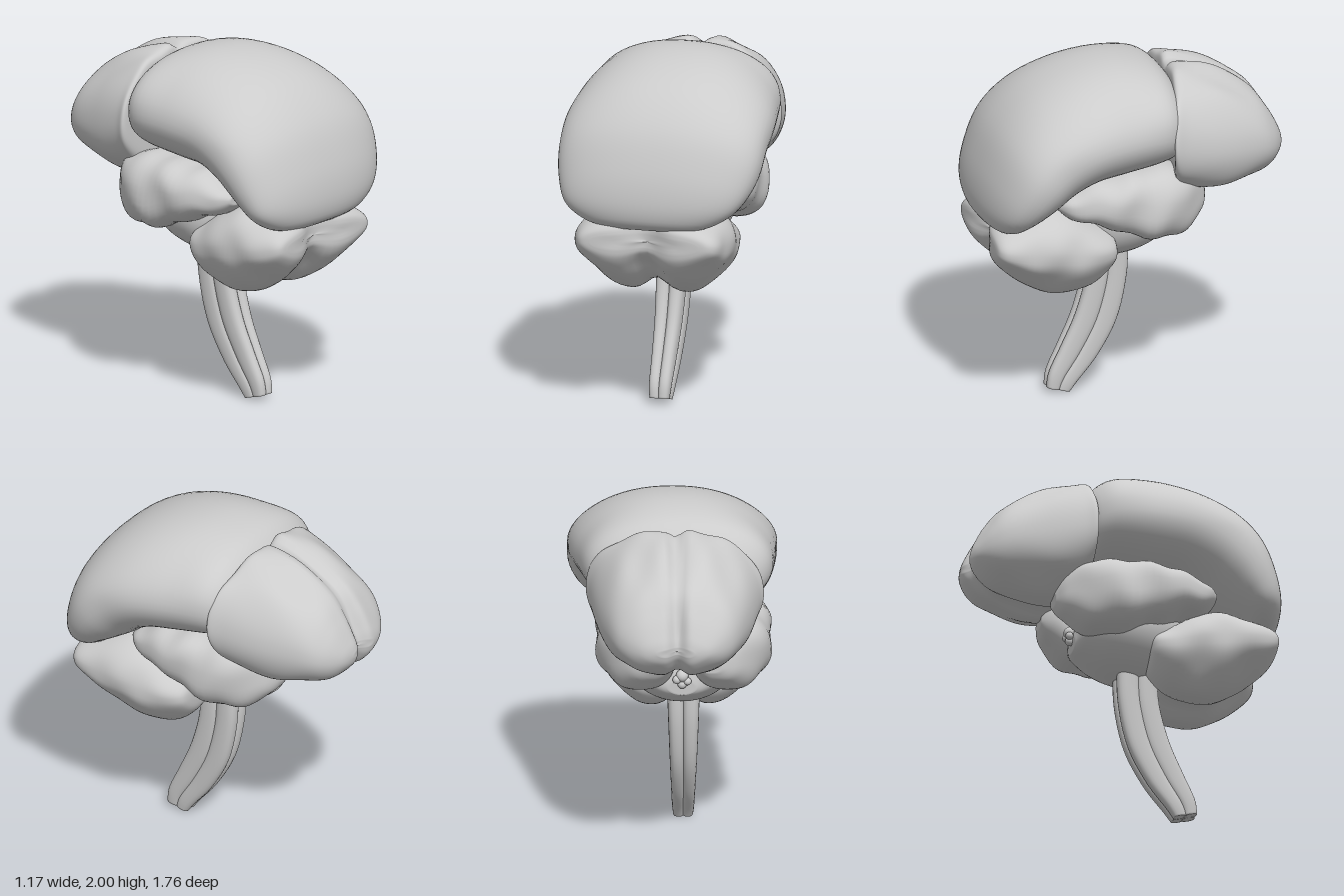
import * as THREE from 'three';

const material = new THREE.MeshStandardMaterial({ color: 0xcccccc, side: THREE.DoubleSide });
const MID = -0.05; // centre line of the lower parts
const { lerp, smoothstep } = THREE.MathUtils;

// Catmull-Rom blend of whole section rows
function blend(rows, t) {
  const last = rows.length - 1;
  const i = Math.min(Math.floor(t * last), last - 1), f = t * last - i;
  const [a, b, c, d] = [rows[Math.max(i - 1, 0)], rows[i], rows[i + 1], rows[Math.min(i + 2, last)]];
  return b.map((v, k) => v + 0.5 * f * (c[k] - a[k]
    + f * (2 * a[k] - 5 * v + 4 * c[k] - d[k] + f * (3 * (v - c[k]) + d[k] - a[k]))));
}

// Smooth body through rows of [outer z, outer y, inner z, inner y, half width, centre x]
function loft(name, rows, { power = 2.3, around = 48, steps = 36, deform } = {}) {
  const pos = [], index = [], p = new THREE.Vector3();
  const soft = v => Math.sign(v) * Math.abs(v) ** (2 / power);
  // rings as [position along the body, scale]; the scaled ones close the ends
  const rings = [[0, 0], [0, 0.3], [0, 0.6], [0, 0.85]];
  for (let i = 0; i <= steps; i++) rings.push([i / steps, 1]);
  rings.push([1, 0.85], [1, 0.6], [1, 0.3], [1, 0]);
  for (const [t, scale] of rings) {
    const [z1, y1, z2, y2, w, x] = blend(rows, t);
    for (let j = 0; j < around; j++) {
      const a = j / around * Math.PI * 2, s = scale * soft(Math.sin(a)) / 2;
      p.set(x + scale * w * soft(Math.cos(a)), (y1 + y2) / 2 + s * (y1 - y2), (z1 + z2) / 2 + s * (z1 - z2));
      if (deform) deform(p);
      pos.push(p.x, p.y, p.z);
    }
  }
  for (let i = 0; i < rings.length - 1; i++) for (let j = 0; j < around; j++) {
    const a = i * around + j, b = i * around + (j + 1) % around;
    index.push(a, b, a + around, b, b + around, a + around);
  }
  const g = new THREE.BufferGeometry();
  g.setAttribute('position', new THREE.Float32BufferAttribute(pos, 3));
  g.setIndex(index);
  g.computeVertexNormals();
  const mesh = new THREE.Mesh(g, material);
  mesh.name = name;
  return mesh;
}

// Rows for upright sections: [z, top, bottom, half width]
const upright = (rows, x) => rows.map(([z, top, bottom, w]) => [z, top, z, bottom, w, x]);
const bell = (v, width) => Math.exp(-((v / width) ** 2));

export function createModel() {
  const model = new THREE.Group();

  // Large arched lobe
  model.add(loft('cerebrum', [
    [-0.25, 1.80, -0.25, 1.50, 0.34, -0.05],
    [-0.24, 1.87, -0.23, 1.42, 0.43, -0.04],
    [-0.13, 1.96, -0.13, 1.39, 0.52, -0.03],
    [0.10, 2.00, 0.08, 1.36, 0.56, -0.015],
    [0.36, 1.96, 0.25, 1.34, 0.58, 0],
    [0.59, 1.85, 0.37, 1.29, 0.585, 0],
    [0.76, 1.67, 0.46, 1.23, 0.58, 0],
    [0.85, 1.45, 0.53, 1.19, 0.545, -0.01],
    [0.88, 1.27, 0.60, 1.15, 0.48, -0.025],
    [0.86, 1.15, 0.65, 1.11, 0.36, -0.03],
    [0.80, 1.10, 0.72, 1.09, 0.22, -0.03],
  ], {
    power: 2.2, around: 64, steps: 50,
    deform: p => { p.x *= 1 - 0.12 * smoothstep(p.y, 1.6, 2.0) * smoothstep(p.z, -0.2, 0.1); },
  }));

  // Grooved lobe at the rear, split along its centre line
  model.add(loft('frontalLobe', upright([
    [-0.885, 1.47, 1.41, 0.10],
    [-0.865, 1.53, 1.36, 0.19],
    [-0.80, 1.65, 1.29, 0.29],
    [-0.70, 1.77, 1.24, 0.36],
    [-0.50, 1.89, 1.19, 0.43],
    [-0.32, 1.945, 1.22, 0.48],
    [-0.25, 1.93, 1.28, 0.50],
    [-0.24, 1.85, 1.38, 0.42],
  ], -0.01), {
    power: 2.15, around: 96, steps: 50,
    deform: p => {
      const cleft = bell(p.x + 0.02, 0.045), up = Math.tanh((p.y - 1.44) / 0.15);
      p.z += cleft * 0.05 * smoothstep(-p.z, 0.65, 0.88);
      p.y -= cleft * 0.045 * up;
      p.y += 0.012 * Math.sin(p.x * 24) * Math.sin(p.z * 9) * up;
      p.x *= 1 + 0.22 * (1.52 - p.y);
      if (p.x > 0) p.z += 0.4 * p.x * p.x * smoothstep(p.z, -0.6, -0.2);
    },
  }));

  // Pair of side lobes
  for (const side of [1, -1]) {
    const rows = [
      [-0.43, 1.23, 1.15, 0.06, 0.15],
      [-0.39, 1.31, 1.08, 0.12, 0.19],
      [-0.28, 1.38, 1.00, 0.18, 0.24],
      [-0.12, 1.40, 0.98, 0.21, 0.27],
      [0.08, 1.39, 1.04, 0.21, 0.28],
      [0.26, 1.37, 1.11, 0.19, 0.27],
      [0.40, 1.31, 1.16, 0.15, 0.27],
      [0.46, 1.26, 1.20, 0.09, 0.26],
    ];
    model.add(loft(side > 0 ? 'leftTemporalLobe' : 'rightTemporalLobe',
      rows.map(([z, top, bottom, w, x]) => [z, top, z, bottom, w, -0.06 + side * x]), {
        power: 2.5,
        deform: p => {
          p.x += side * 0.010 * Math.sin(p.z * 17 + p.y * 14);
          p.y += 0.008 * Math.sin(p.z * 30);
        },
      }));
  }

  // Two-lobed part under the arch
  model.add(loft('cerebellum', upright([
    [0.11, 0.98, 0.87, 0.26],
    [0.13, 1.04, 0.79, 0.34],
    [0.22, 1.10, 0.70, 0.395],
    [0.36, 1.19, 0.655, 0.425],
    [0.50, 1.23, 0.67, 0.435],
    [0.65, 1.19, 0.75, 0.435],
    [0.77, 1.15, 0.85, 0.41],
    [0.82, 1.11, 0.92, 0.37],
    [0.83, 1.07, 0.97, 0.31],
  ], -0.035), {
    power: 2.4, around: 80,
    deform: p => {
      const low = smoothstep(1.05 - p.y, 0, 0.3);
      p.x += (p.x - MID) * 0.12 * (p.y - 1.0);
      p.y += 0.09 * bell(p.x - MID, 0.09) * low;
      p.y += 0.05 * low * smoothstep(Math.abs(p.x - MID), 0.2, 0.42);
      p.z -= 0.08 * bell(p.x - MID, 0.12) * smoothstep(p.z, 0.5, 0.83);
      p.x += 0.008 * Math.sin(p.z * 22) * Math.sin(p.y * 17);
    },
  }));

  // Core between the side lobes
  model.add(loft('brainStem', upright([
    [-0.28, 1.05, 0.96, 0.08],
    [-0.24, 1.18, 0.93, 0.19],
    [-0.12, 1.32, 0.86, 0.29],
    [0.02, 1.36, 0.82, 0.32],
    [0.16, 1.34, 0.82, 0.29],
    [0.34, 1.25, 0.90, 0.15],
  ], MID), { power: 2 }));

  // Spinal cord: four strands, rows of [front z, front y, back z, back y, half width]
  const cord = new THREE.Group();
  cord.name = 'spinalCord';
  const path = [
    [0.20, 0.88, -0.03, 0.90, 0.092],
    [0.21, 0.68, -0.025, 0.68, 0.085],
    [0.27, 0.46, 0.03, 0.42, 0.076],
    [0.35, 0.28, 0.14, 0.21, 0.068],
    [0.42, 0.13, 0.26, 0.06, 0.062],
    [0.435, 0.04, 0.30, 0.005, 0.055],
  ];
  for (const side of [1, -1]) for (const half of [0, 1]) {
    const rows = path.map(([z1, y1, z2, y2, w]) => {
      const at = t => [lerp(z1, z2, t), lerp(y1, y2, t)];
      return [...at(half * 0.46), ...at(0.54 + half * 0.46), w * 0.54, -0.06 + side * w * 0.46];
    });
    cord.add(loft('cordStrand', rows, { power: 2.5, around: 20, steps: 24 }));
  }
  model.add(cord);

  // Small gland cluster under the rear
  const gland = new THREE.Group();
  gland.name = 'gland';
  for (const [x, y, z, r] of [[0, 1.08, -0.29, 0.035], [-0.03, 1.05, -0.30, 0.022],
    [0.03, 1.06, -0.30, 0.024], [0, 1.03, -0.29, 0.026]]) {
    const bead = new THREE.Mesh(new THREE.SphereGeometry(r, 16, 12), material);
    bead.name = 'glandBead';
    bead.position.set(MID + x, y, z);
    gland.add(bead);
  }
  model.add(gland);

  return model;
}
